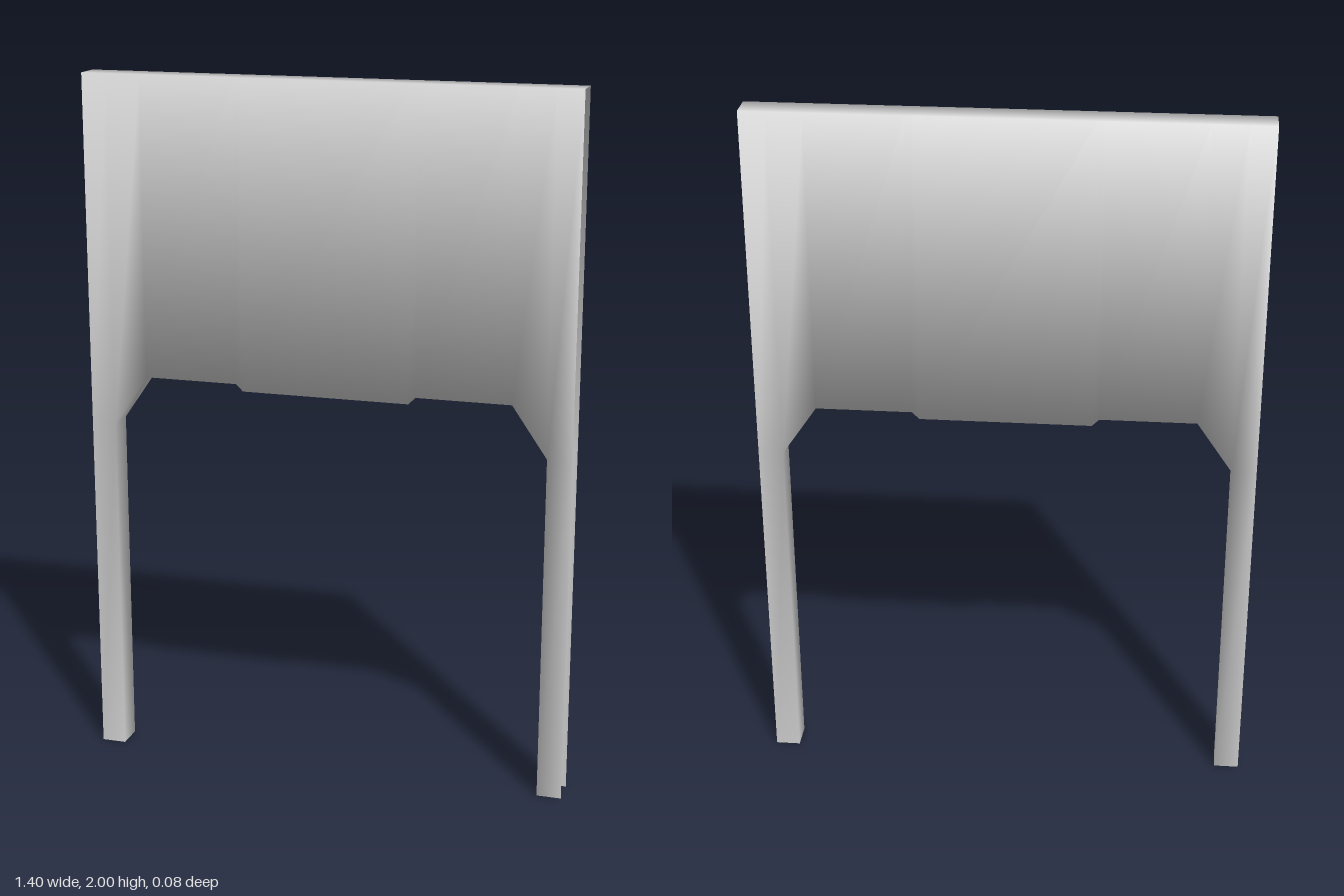
import * as THREE from 'three';

const DEPTH = 0.04; // half thickness of the channel
const TOP = 2;

// Inner outline of the opening, from the right foot to the left foot
const half = [[0.63, 0], [0.63, 1], [0.53, 1.145], [0.26, 1.145], [0.24, 1.125]];
const rim = [...half.map(([x, y]) => [-x, y]), ...half.slice().reverse()];

// Unit normals of the walls between neighbouring outline points
const wallNormals = rim.slice(1).map(([x, y], i) => {
  const dx = x - rim[i][0], dy = y - rim[i][1], l = Math.hypot(dx, dy);
  return [dy / l, -dx / l];
});

// Vertex with a softened normal: the panel's direction plus its neighbours'
function vertex(x, y, side, nx = 0, ny = 0) {
  return {
    p: [x, y, side * DEPTH],
    n: new THREE.Vector3(nx, ny, side).normalize().toArray(),
  };
}

function rimEdge(side) {
  return rim.map(([x, y], i) => {
    const a = wallNormals[i - 1] ?? [0, 0];
    const b = wallNormals[i] ?? [0, 0];
    return vertex(x, y, side, a[0] + b[0], a[1] + b[1]);
  });
}

// Strip of quads between two edges with the same number of points
function sheet(name, edgeA, edgeB, material) {
  const all = [...edgeA, ...edgeB], n = edgeA.length, index = [];
  for (let i = 0; i < n - 1; i++) {
    index.push(i, i + 1, n + i + 1, i, n + i + 1, n + i);
  }
  const geometry = new THREE.BufferGeometry();
  geometry.setAttribute('position', new THREE.Float32BufferAttribute(all.flatMap(v => v.p), 3));
  geometry.setAttribute('normal', new THREE.Float32BufferAttribute(all.flatMap(v => v.n), 3));
  geometry.setIndex(index);
  const mesh = new THREE.Mesh(geometry, material);
  mesh.name = name;
  return mesh;
}

export function createModel() {
  const group = new THREE.Group();
  group.name = 'panelFrame';
  const material = new THREE.MeshStandardMaterial({ color: 0xcccccc, side: THREE.DoubleSide });
  const edges = {}, tops = {};

  // Front and back faces: a wide panel over two narrow leg strips
  for (const [side, label] of [[1, 'front'], [-1, 'back']]) {
    const edge = edges[side] = rimEdge(side);
    const last = edge.length - 1;
    const lower = [vertex(-0.7, 1, side), ...edge.slice(1, last), vertex(0.7, 1, side)];
    const upper = tops[side] = lower.map(v => vertex(v.p[0], TOP, side, 0, 1));
    // Swapping the edges turns the back faces outward
    const add = (name, a, b) =>
      group.add(side > 0 ? sheet(name, a, b, material) : sheet(name, b, a, material));
    add(label + 'Panel', lower, upper);
    add(label + 'RightLeg', [vertex(-0.7, 0, side), edge[0]], [lower[0], edge[1]]);
    add(label + 'LeftLeg', [edge[last], vertex(0.7, 0, side)], [edge[last - 1], lower[last]]);
  }

  // Walls joining front to back; the outer sides and feet stay open
  group.add(sheet('openingWall', edges[-1], edges[1], material));
  group.add(sheet('topEdge', tops[1], tops[-1], material));
  return group;
}
